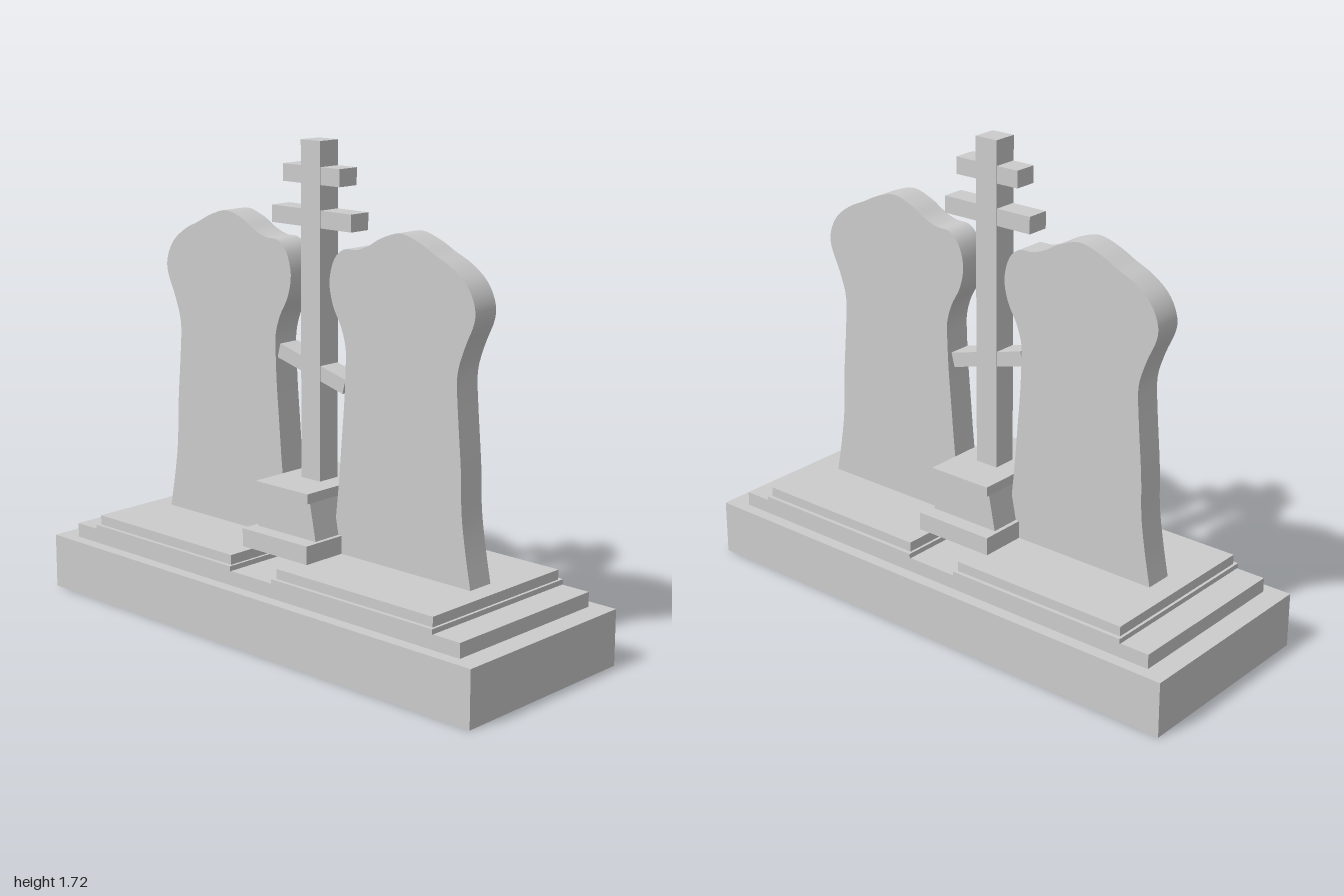
import * as THREE from 'three';
import { toCreasedNormals } from 'three/addons/utils/BufferGeometryUtils.js';

const material = new THREE.MeshStandardMaterial({ color: 0xcccccc });

function add(parent, name, geometry) {
  const mesh = new THREE.Mesh(geometry, material);
  mesh.name = name;
  parent.add(mesh);
  return mesh;
}

// Box given by its x range, y range and half depth
function block(parent, name, x0, x1, y0, y1, halfZ) {
  const mesh = add(parent, name, new THREE.BoxGeometry(x1 - x0, y1 - y0, halfZ * 2));
  mesh.position.set((x0 + x1) / 2, (y0 + y1) / 2, 0);
  return mesh;
}

// Centred extrusion of a shape along z
function extrude(shape, depth) {
  const geometry = new THREE.ExtrudeGeometry(shape, { depth, bevelEnabled: false, curveSegments: 100 });
  geometry.translate(0, 0, -depth / 2);
  return geometry;
}

// Wavy outline of one headstone, from the outer foot over the top to the inner foot
const outline = [
  [0.727, 0.305], [0.703, 0.43], [0.685, 0.556], [0.679, 0.7], [0.662, 0.9], [0.658, 1.01],
  [0.685, 1.1], [0.724, 1.19], [0.722, 1.25], [0.688, 1.31], [0.625, 1.358], [0.56, 1.388],
  [0.49, 1.422], [0.41, 1.443], [0.33, 1.42], [0.27, 1.387], [0.215, 1.368], [0.16, 1.364],
  [0.117, 1.326], [0.096, 1.25], [0.112, 1.17], [0.15, 1.1], [0.171, 1.03], [0.171, 0.957],
  [0.166, 0.85], [0.155, 0.717], [0.144, 0.583], [0.128, 0.43], [0.115, 0.305],
];

function headstone(side) {
  const points = outline.map(([x, y]) => new THREE.Vector2(side > 0 ? x : 0.01 - x, y));
  const curve = new THREE.SplineCurve(points);
  return toCreasedNormals(extrude(new THREE.Shape(curve.getPoints(112)), 0.104), 0.6);
}

export function createModel() {
  const model = new THREE.Group();
  model.name = 'doubleMemorial';

  // Stepped foundation
  block(model, 'base', -1, 1, 0, 0.2, 0.38);
  block(model, 'step', -0.92, 0.92, 0.2, 0.252, 0.335);

  // Two slabs, each with its headstone
  for (const side of [1, -1]) {
    const label = side > 0 ? 'left' : 'right';
    const span = (a, b) => (side > 0 ? [a, b] : [-b, -a]);
    block(model, label + 'SlabLower', ...span(0.1, 0.81), 0.252, 0.27, 0.34);
    block(model, label + 'SlabUpper', ...span(0.11, 0.8), 0.27, 0.305, 0.325);
    add(model, label + 'Headstone', headstone(side));
  }

  // Central pedestal: plinth, tapered body and cap
  const pedestal = new THREE.Group();
  pedestal.name = 'pedestal';
  block(pedestal, 'plinth', -0.155, 0.155, 0.305, 0.37, 0.225);
  const taper = new THREE.Shape([[-0.14, 0.37], [0.14, 0.37], [0.113, 0.505], [-0.113, 0.505]]
    .map(([x, y]) => new THREE.Vector2(x, y)));
  add(pedestal, 'taperedBody', extrude(taper, 0.332));
  block(pedestal, 'cap', -0.125, 0.125, 0.505, 0.54, 0.19);
  model.add(pedestal);

  // Cross with three bars, the lowest slanted
  const cross = new THREE.Group();
  cross.name = 'cross';
  block(cross, 'post', -0.045, 0.045, 0.54, 1.715, 0.044);
  block(cross, 'topBar', -0.132, 0.132, 1.568, 1.628, 0.042);
  block(cross, 'mainBar', -0.185, 0.185, 1.422, 1.482, 0.042);
  block(cross, 'slantedBar', -0.16, 0.16, 0.908, 0.96, 0.042).rotation.z = -0.26;
  model.add(cross);

  return model;
}
